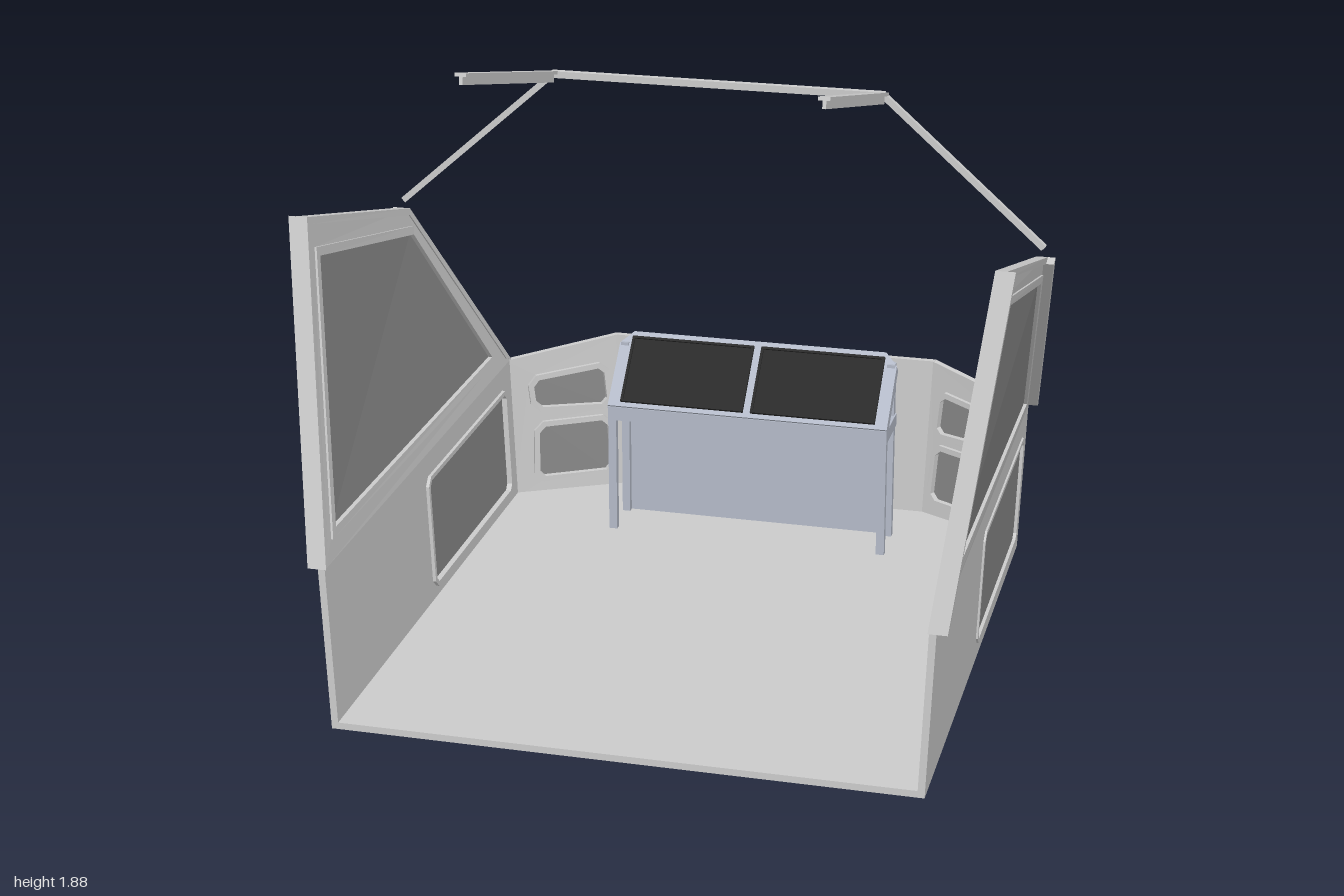
import * as THREE from 'three';

const grey = new THREE.MeshStandardMaterial({ color: 0xcccccc });
const glassMat = new THREE.MeshStandardMaterial({ color: 0x888888 });
const consoleMat = new THREE.MeshStandardMaterial({ color: 0xb4bac8 });
const screenMat = new THREE.MeshStandardMaterial({ color: 0x2a2a2a });

// Offset a convex counter-clockwise polygon inwards
function inset(pts, d) {
  const n = pts.length;
  const lines = pts.map(([x, y], i) => {
    const [u, v] = pts[(i + 1) % n];
    const l = Math.hypot(u - x, v - y);
    const nx = -(v - y) / l, ny = (u - x) / l;
    return [nx, ny, nx * x + ny * y + d];
  });
  return lines.map(([a, b, c], i) => {
    const [e, f, g] = lines[(i + n - 1) % n];
    const det = a * f - b * e;
    return [(c * f - b * g) / det, (a * g - c * e) / det];
  });
}

// Cut every corner of a polygon
function chamfer(pts, c) {
  const n = pts.length;
  return pts.flatMap((p, i) => [pts[(i + n - 1) % n], pts[(i + 1) % n]].map((q) => {
    const t = c / Math.hypot(q[0] - p[0], q[1] - p[1]);
    return [p[0] + (q[0] - p[0]) * t, p[1] + (q[1] - p[1]) * t];
  }));
}

// Plate between depths z0 and z1, with optional holes
function plate(pts, holes, z0, z1) {
  const toV = (a) => a.map(([x, y]) => new THREE.Vector2(x, y));
  const shape = new THREE.Shape(toV(pts));
  for (const h of holes) shape.holes.push(new THREE.Path(toV(h)));
  return new THREE.ExtrudeGeometry(shape, { depth: z1 - z0, bevelEnabled: false }).translate(0, 0, z0);
}

// The walls lean outwards, the upper side panels more than the lower ones
function lean(geo) {
  const p = geo.attributes.position;
  for (let i = 0; i < p.count; i++) {
    const x = p.getX(i), y = p.getY(i), z = p.getZ(i), h = y - 0.51;
    const k = h > 0 && z > -0.765 ? 0.157 - 0.04 * Math.max(0, (z + 0.14) / 0.83) : 0.04;
    p.setX(i, x + Math.sign(x) * k * h);
    p.setZ(i, z - 0.03 * h * THREE.MathUtils.clamp((-z - 0.76) / 0.185, 0, 1));
  }
  geo.computeVertexNormals();
  return geo;
}

// Mirror across x and restore the winding
function mirror(geo) {
  const g = geo.index ? geo.toNonIndexed() : geo.clone();
  g.scale(-1, 1, 1);
  const p = g.attributes.position;
  const a = new THREE.Vector3(), b = new THREE.Vector3();
  for (let i = 0; i < p.count; i += 3) {
    a.fromBufferAttribute(p, i + 1);
    b.fromBufferAttribute(p, i + 2);
    p.setXYZ(i + 1, b.x, b.y, b.z);
    p.setXYZ(i + 2, a.x, a.y, a.z);
  }
  g.computeVertexNormals();
  return g;
}

export function createModel() {
  const model = new THREE.Group();
  function add(name, geo, mat = grey, parent = model) {
    const m = new THREE.Mesh(geo, mat);
    m.name = name;
    parent.add(m);
    return m;
  }
  function pair(name, geo, mat) {
    add(name + 'Left', geo, mat);
    add(name + 'Right', mirror(geo), mat);
  }
  function bar(name, a, b, w, h, mat = grey) {
    const A = new THREE.Vector3(...a), B = new THREE.Vector3(...b);
    const m = add(name, new THREE.BoxGeometry(w, h, A.distanceTo(B)), mat);
    m.position.copy(A).lerp(B, 0.5);
    m.lookAt(B);
  }
  // Window: raised frame with a pane set inside it
  function windowPair(name, pts, place, w, z0, z1) {
    const inner = inset(pts, w);
    pair(name + 'Frame', place(plate(pts, [inner], z0, z1)));
    pair(name + 'Glass', place(plate(inner, [], -0.013, -0.004)), glassMat);
  }

  // Floor
  const half = [[0.84, -0.945], [0.84, 0.75], [0.51, 0.93]];
  const floorPts = [...half, ...half.map(([x, y]) => [-x, y]).reverse()];
  add('floor', plate(floorPts, [], 0.025, 0.045).rotateX(-Math.PI / 2));

  // Side walls, drawn with the horizontal axis pointing backwards
  const side = (g) => lean(g.rotateY(Math.PI / 2).translate(0.86, 0, 0));
  const upper = [[-0.945, 0.51], [0.76, 0.51], [0.14, 1.21], [-0.69, 1.44]];
  const lower = [[-0.945, 0.025], [0.76, 0.025], [0.76, 0.51], [-0.945, 0.51]];
  const bigWindow = [[-0.87, 0.57], [0.64, 0.555], [0.14, 1.155], [-0.66, 1.345]];
  const lowWindow = chamfer([[-0.11, 0.08], [0.68, 0.08], [0.68, 0.44], [-0.11, 0.44]], 0.025);
  pair('upperSidePanel', side(plate(upper, [bigWindow], -0.02, 0)));
  pair('lowerSidePanel', side(plate(lower, [lowWindow], -0.02, 0)));
  windowPair('sideWindow', bigWindow, side, 0.025, -0.026, 0.006);
  windowPair('lowerWindow', lowWindow, side, 0.014, -0.03, 0.006);

  // Flanges on the sloping edges and a thin strip on the top edge
  const rim = inset(upper, 0.02);
  [['rearFlange', 1, 0.03], ['topStrip', 2, 0.008], ['frontFlange', 3, 0.03]].forEach(([name, i, d]) => {
    const j = (i + 1) % 4;
    pair(name, side(plate([upper[i], upper[j], rim[j], rim[i]], [], -0.024, d)));
  });

  // Rear corner walls with two small windows each
  const dx = -0.33, dz = -0.185, len = Math.hypot(dx, dz);
  const corner = (g) => lean(g.rotateY(Math.atan2(-dz, dx)).translate(0.86, 0, -0.76));
  const cornerWindows = [
    chamfer([[0.07, 0.08], [0.355, 0.085], [0.345, 0.295], [0.08, 0.29]], 0.03),
    chamfer([[0.075, 0.325], [0.35, 0.315], [0.34, 0.48], [0.065, 0.45]], 0.03),
  ];
  pair('cornerWall', corner(plate([[0, 0.025], [len, 0.025], [len, 0.565], [0, 0.51]], cornerWindows, -0.02, 0)));
  cornerWindows.forEach((w, i) => windowPair('cornerWindow' + (i + 1), w, corner, 0.018, -0.032, 0.008));

  // Back wall
  add('backWall', lean(plate([[-0.53, 0.025], [0.53, 0.025], [0.53, 0.565], [-0.53, 0.565]], [], -0.02, 0)
    .rotateY(Math.PI).translate(0, 0, -0.945)));

  // Roof frame: cross bar, sloping struts and two T-shaped rails
  bar('roofCrossBar', [-0.495, 1.655, -0.145], [0.495, 1.655, -0.145], 0.02, 0.02);
  for (const s of [-1, 1]) {
    bar('roofStrut', [s * 0.49, 1.655, -0.145], [s * 0.965, 1.235, -0.145], 0.018, 0.018);
    bar('railPlate', [s * 0.49, 1.66, -0.14], [s * 0.49, 1.872, 0.7], 0.032, 0.01);
    bar('railWeb', [s * 0.49, 1.645, -0.135], [s * 0.49, 1.857, 0.697], 0.01, 0.026);
  }

  // Console: curved back panel, front legs, apron and slanted desk
  const outer = [[0.42, 0.69], [0.445, 0.69], [0.445, 0.715], [0.43, 0.73]];
  const backPlan = [...outer, ...outer.map(([x, y]) => [-x, y]).reverse(), [-0.42, 0.71], [0.42, 0.71]];
  add('consoleBack', plate(backPlan, [], 0, 0.63).rotateX(-Math.PI / 2), consoleMat);
  for (const s of [-1, 1]) {
    bar('consoleLeg', [s * 0.436, 0, -0.553], [s * 0.436, 0.46, -0.553], 0.026, 0.022, consoleMat);
    bar('consoleSideRail', [s * 0.436, 0.44, -0.555], [s * 0.436, 0.44, -0.715], 0.026, 0.04, consoleMat);
  }
  bar('consoleApron', [-0.45, 0.442, -0.553], [0.45, 0.442, -0.553], 0.022, 0.045, consoleMat);

  const desk = new THREE.Group();
  desk.name = 'consoleDesk';
  desk.position.set(0, 0.47, -0.54);
  desk.rotation.x = -Math.PI / 4;
  const deskPts = [[-0.45, 0], [0.45, 0], [0.45, 0.22], [0.41, 0.265], [-0.41, 0.265], [-0.45, 0.22]];
  add('deskTop', plate(deskPts, [], -0.035, 0), consoleMat, desk);
  for (const s of [-1, 1]) {
    const x0 = s > 0 ? 0.012 : -0.41, x1 = x0 + 0.398;
    const pts = [[x0, 0.015], [x1, 0.015], [x1, 0.245], [x0, 0.245]];
    add('screenFrame', plate(pts, [inset(pts, 0.008)], 0, 0.01), screenMat, desk);
    add('screen', plate(inset(pts, 0.008), [], 0, 0.004), screenMat, desk);
  }
  model.add(desk);
  return model;
}
